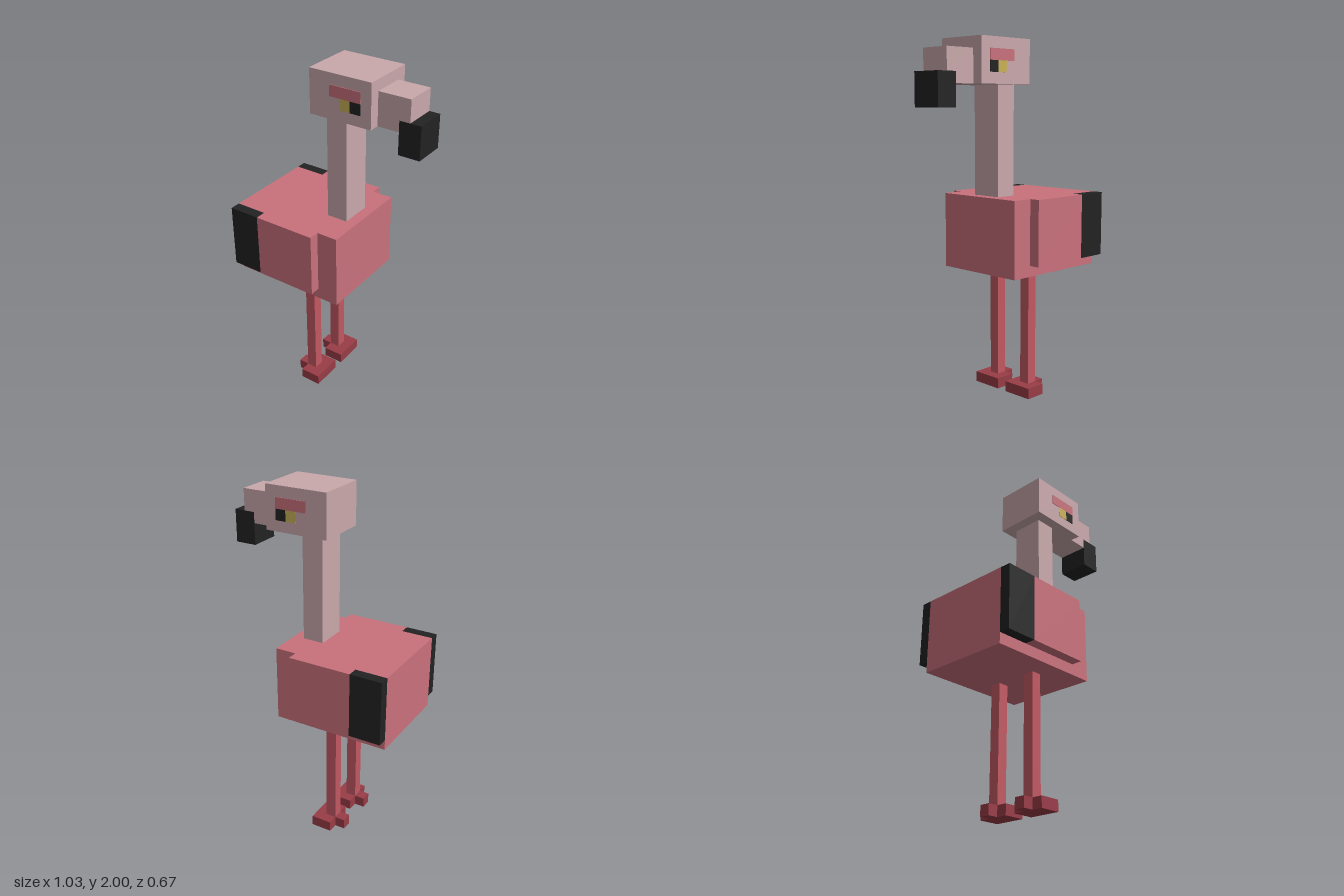
import * as THREE from 'three';

const U = 2 / 33; // one block unit

function material(name, color) {
  const m = new THREE.MeshStandardMaterial({ color });
  m.name = name;
  return m;
}

export function createModel() {
  const pink = material('body pink', 0xc9717c);
  const pale = material('pale pink', 0xc9a8ab);
  const red = material('leg red', 0xc15862);
  const darkRed = material('foot red', 0x993c47);
  const black = material('black', 0x222222);
  const yellow = material('eye yellow', 0xc9b158);

  const model = new THREE.Group();
  model.name = 'wadingBird';

  // Box given by its limits in block units
  function block(parent, name, mat, [x0, x1], [y0, y1], [z0, z1]) {
    const geometry = new THREE.BoxGeometry((x1 - x0) * U, (y1 - y0) * U, (z1 - z0) * U);
    const mesh = new THREE.Mesh(geometry, mat);
    mesh.name = name;
    mesh.position.set((x0 + x1) / 2 * U, (y0 + y1) / 2 * U, (z0 + z1) / 2 * U);
    parent.add(mesh);
  }

  // Trunk and neck
  block(model, 'body', pink, [-8.5, 2.5], [12, 19], [-4.5, 4.5]);
  block(model, 'neck', pale, [-0.5, 1.5], [19, 29], [-1.5, 1.5]);

  // Head with a stepped beak that fits round the dark hooked tip
  const head = new THREE.Group();
  head.name = 'head';
  model.add(head);
  block(head, 'skull', pale, [-1.5, 4.5], [29, 33], [-2.5, 2.5]);
  block(head, 'beakUpper', pale, [4.5, 7.5], [30, 32], [-1.5, 1.5]);
  block(head, 'beakLower', pale, [4.5, 6.5], [29, 30], [-1.5, 1.5]);
  block(head, 'beakTipLower', black, [6.5, 8.5], [27, 30], [-1.5, 1.5]);

  // Paired parts on both sides
  for (const side of [1, -1]) {
    const label = side > 0 ? 'Near' : 'Far';
    const range = (a, b) => (side > 0 ? [a, b] : [-b, -a]);

    // Wing with dark rear feathers
    const wing = new THREE.Group();
    wing.name = 'wing' + label;
    model.add(wing);
    block(wing, 'wingPanel', pink, [-5.5, 0.5], [13, 19], range(4.5, 5.5));
    block(wing, 'wingTip', black, [-8.5, -5.5], [13, 19], range(4.5, 5.5));

    // Leg, foot and rear toe
    const leg = new THREE.Group();
    leg.name = 'leg' + label;
    model.add(leg);
    block(leg, 'shin', red, [-2.5, -1.5], [1, 12], range(1.5, 2.5));
    block(leg, 'foot', darkRed, [-2.5, -0.5], [0, 1], range(0.5, 3.5));
    block(leg, 'rearToe', darkRed, [-3.5, -2.5], [0, 1], range(1.5, 2.5));

    // Painted brow and eye as thin plates
    const plate = range(2.5, 2.55);
    block(head, 'brow' + label, pink, [0.5, 3.5], [31, 32], plate);
    block(head, 'iris' + label, yellow, [1.5, 2.5], [30, 31], plate);
    block(head, 'pupil' + label, black, [2.5, 3.5], [30, 31], plate);
  }

  return model;
}
